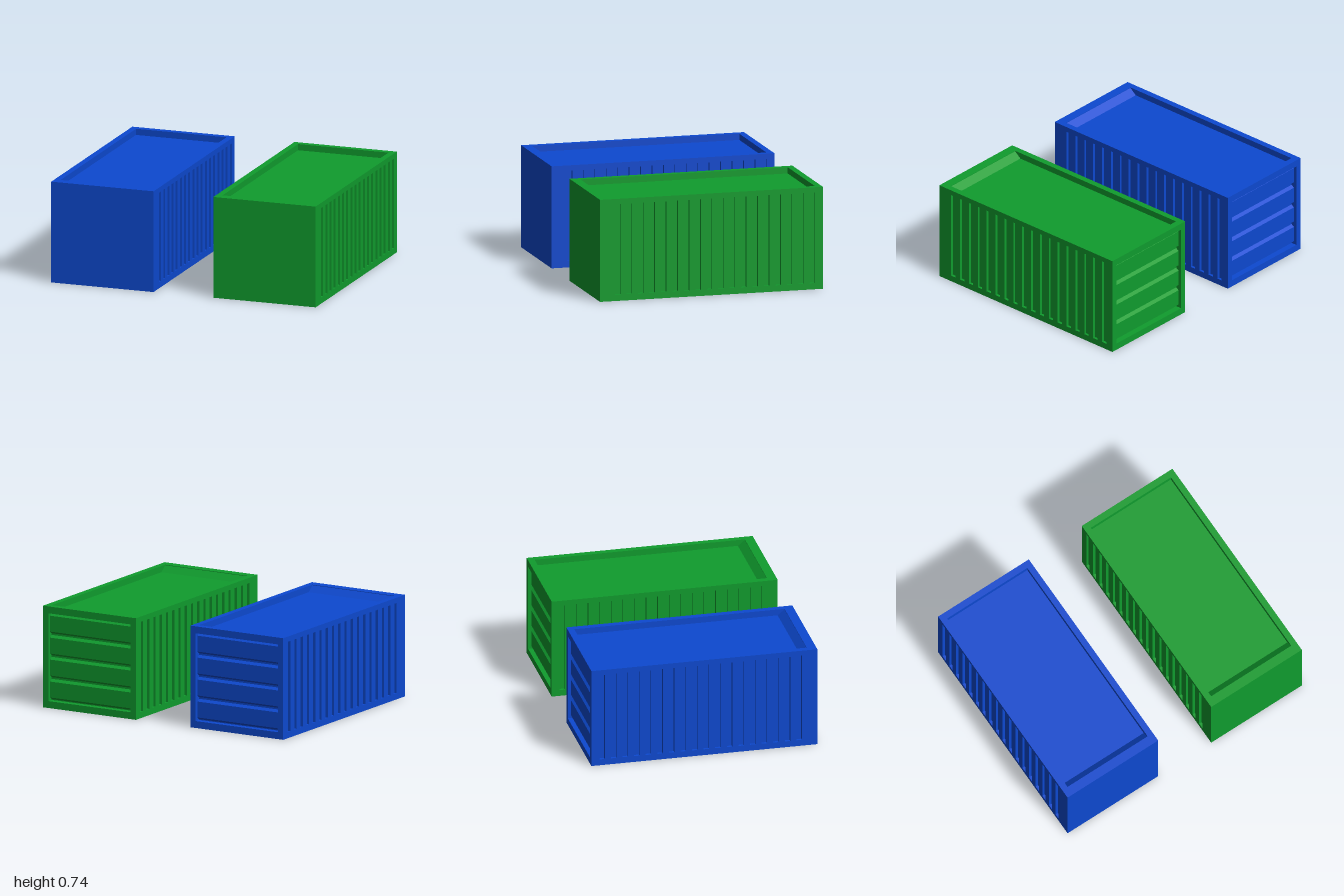
import * as THREE from 'three';

// Container size and recess depths
const W = 0.774, H = 0.738, L = 1.645;
const SIDE = 0.02, TOP = 0.045, BOTTOM = 0.035, BACK = 0.045;
const FRONT = L / 2;

// Closed rectangle as a point list
const rect = (x0, y0, x1, y1) => [[x0, y0], [x1, y0], [x1, y1], [x0, y1]].map(p => new THREE.Vector2(...p));

// Flat plate with rectangular openings, extruded along +z
function plate(outer, holes, depth) {
  const shape = new THREE.Shape(rect(...outer));
  holes.forEach(h => shape.holes.push(new THREE.Path(rect(...h))));
  return new THREE.ExtrudeGeometry(shape, { depth, bevelEnabled: false });
}

function createContainer(color) {
  const group = new THREE.Group();
  const material = new THREE.MeshStandardMaterial({ color });
  const add = (name, geometry) => {
    const mesh = new THREE.Mesh(geometry, material);
    mesh.name = name;
    group.add(mesh);
    return mesh;
  };
  const inner = W / 2 - SIDE;   // half width between the side walls
  const open = W / 2 - 0.045;   // half width of roof, floor and door openings

  // Solid body: its faces form the bottoms of all recesses and the flat front
  const bodyH = H - TOP - BOTTOM, bodyL = L - BACK;
  add('body', new THREE.BoxGeometry(inner * 2, bodyH, bodyL))
    .position.set(0, BOTTOM + bodyH / 2, BACK / 2);

  // Side walls with a row of upright slots
  const slots = [];
  for (let i = 0; i < 18; i++) {
    const z = 0.69 - i * 0.0844;
    slots.push([-z - 0.02, 0.045, -z + 0.02, 0.7]);
  }
  for (const s of [-1, 1]) {
    const wall = add(s > 0 ? 'leftWall' : 'rightWall', plate([-L / 2, 0, L / 2, H], slots, SIDE));
    wall.rotation.y = Math.PI / 2;
    wall.position.x = s > 0 ? inner : -W / 2;
  }

  // Roof and floor rims (shape y becomes -z)
  const rim = [[-open, -0.755, open, 0.775]];
  const outline = [-inner, -L / 2, inner, L / 2];
  const roof = add('roofRim', plate(outline, rim, TOP));
  roof.rotation.x = -Math.PI / 2;
  roof.position.y = H - TOP;
  add('floorRim', plate(outline, rim, BOTTOM)).rotation.x = -Math.PI / 2;

  // Sloping strip at the front end of the roof recess
  const wedge = new THREE.Shape([[-0.755, 0], [-0.705, 0], [-0.755, TOP - 0.004]].map(p => new THREE.Vector2(...p)));
  const ramp = add('roofRamp', new THREE.ExtrudeGeometry(wedge, { depth: open * 2, bevelEnabled: false }));
  ramp.rotation.y = Math.PI / 2;
  ramp.position.set(-open, H - TOP, 0);

  // Door frame at the back
  add('doorFrame', plate([-inner, BOTTOM, inner, H - TOP], [[-open, 0.05, open, 0.688]], BACK))
    .position.z = -FRONT;

  // Four raised horizontal door boards with bevelled edges
  const pitch = 0.638 / 4, raise = 0.022;
  const section = [[0, 0.006], [raise, 0.022], [raise, pitch - 0.022], [0, pitch - 0.006]];
  const board = new THREE.ExtrudeGeometry(
    new THREE.Shape(section.map(p => new THREE.Vector2(...p))),
    { depth: open * 2, bevelEnabled: false });
  for (let i = 0; i < 4; i++) {
    const mesh = add('doorBoard', board);
    mesh.rotation.y = Math.PI / 2;
    mesh.position.set(-open, 0.05 + i * pitch, -FRONT + BACK);
  }
  return group;
}

export function createModel() {
  const model = new THREE.Group();
  model.name = 'containers';
  [['blueContainer', 0x0d49d0, -1], ['greenContainer', 0x109c2e, 1]].forEach(([name, color, s]) => {
    const container = createContainer(color);
    container.name = name;
    container.position.x = s * (1 - W / 2);
    model.add(container);
  });
  return model;
}
